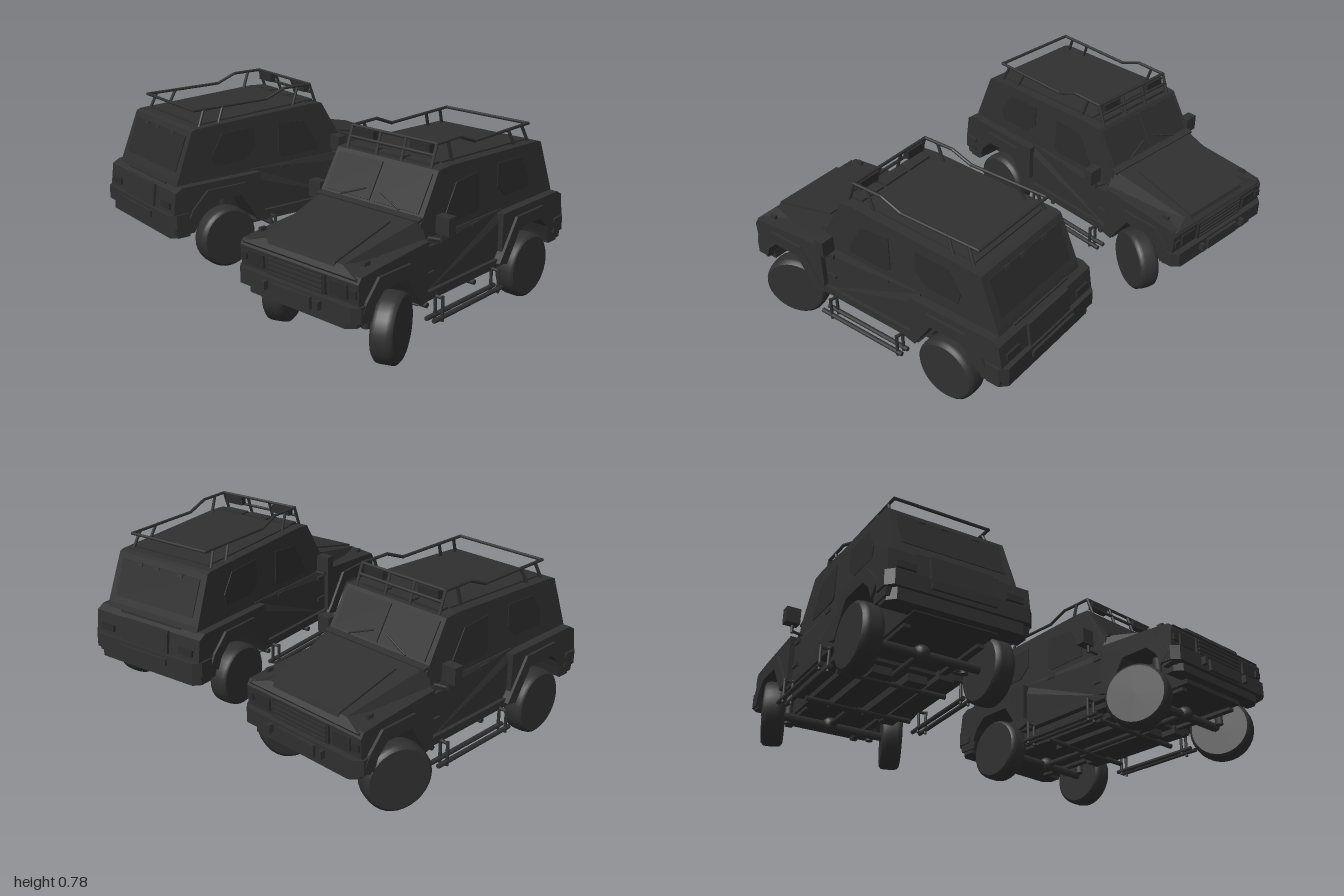
import * as THREE from 'three';

const paint = new THREE.MeshStandardMaterial({ color: 0x303030 });
paint.name = 'charcoalPaint';
const glass = new THREE.MeshStandardMaterial({ color: 0x2b2b2b });
glass.name = 'darkGlass';

const V = (p) => new THREE.Vector3(...p);

function add(group, name, geometry, material = paint) {
  const mesh = new THREE.Mesh(geometry, material);
  mesh.name = name;
  group.add(mesh);
  return mesh;
}

function box(group, name, size, pos, material, tilt = 0) {
  const mesh = add(group, name, new THREE.BoxGeometry(...size), material);
  mesh.position.set(...pos);
  mesh.rotation.x = tilt;
  return mesh;
}

function rod(group, name, a, b, r = 0.007) {
  const from = V(a), to = V(b), dir = to.clone().sub(from);
  const mesh = add(group, name, new THREE.CylinderGeometry(r, r, dir.length() + r, 8));
  mesh.position.copy(from).add(to).multiplyScalar(0.5);
  mesh.quaternion.setFromUnitVectors(new THREE.Vector3(0, 1, 0), dir.normalize());
  return mesh;
}

// Side outline of [z, y] points pulled across the car; half(y, z) gives the half width
function profile(group, name, points, half, material) {
  const shape = new THREE.Shape(points.map(([z, y]) => new THREE.Vector2(z, y)));
  const g = new THREE.ExtrudeGeometry(shape, { depth: 1, bevelEnabled: false });
  g.translate(0, 0, -0.5).rotateY(-Math.PI / 2);
  const p = g.attributes.position;
  for (let i = 0; i < p.count; i++) p.setX(i, Math.sign(p.getX(i)) * half(p.getY(i), p.getZ(i)));
  g.computeVertexNormals();
  return add(group, name, g, material);
}

const cabinHalf = (y) => 0.269 - (y - 0.41) * 0.03;

function buildBody(car) {
  profile(car, 'frontFenders', [[0.28, 0.21], [0.34, 0.21], [0.42, 0.335], [0.555, 0.335], [0.61, 0.28], [0.63, 0.22],
    [0.675, 0.23], [0.685, 0.385], [0.67, 0.408], [0.56, 0.42], [0.28, 0.44]], () => 0.308);
  profile(car, 'doorBody', [[0.3, 0.2], [0.3, 0.39], [0.3, 0.43], [-0.25, 0.43], [-0.25, 0.39], [-0.25, 0.2]],
    (y) => (y > 0.4 ? 0.274 : 0.285));
  profile(car, 'rearFenders', [[-0.22, 0.21], [-0.22, 0.42], [-0.635, 0.42], [-0.67, 0.4], [-0.685, 0.29], [-0.67, 0.2],
    [-0.58, 0.2], [-0.55, 0.28], [-0.49, 0.335], [-0.335, 0.335], [-0.255, 0.21]], () => 0.308);
  profile(car, 'cabin', [[-0.645, 0.41], [-0.635, 0.44], [-0.55, 0.655], [-0.53, 0.663], [0.1, 0.69], [0.17, 0.685],
    [0.28, 0.5], [0.28, 0.41]], cabinHalf);
  box(car, 'engineAndTrunkCore', [0.36, 0.24, 1.3], [0, 0.3, 0]);

  // Hood narrows toward the nose and toward its top
  profile(car, 'hood', [[0.27, 0.4], [0.675, 0.385], [0.685, 0.402], [0.655, 0.428], [0.27, 0.515]],
    (y, z) => (y < 0.41 ? 0.295 : 0.255 - (z - 0.27) * 0.13));
  profile(car, 'hoodPanel', [[0.345, 0.44], [0.67, 0.41], [0.662, 0.434], [0.345, 0.506]], (y, z) => 0.175 - (0.67 - z) * 0.02);
  box(car, 'cowl', [0.53, 0.012, 0.035], [0, 0.512, 0.28], paint, 0.2);

  // Angular wheel-arch flares
  const arch = (outer, inner) => [...outer, ...inner.reverse()];
  const frontArch = arch([[0.67, 0.27], [0.65, 0.31], [0.58, 0.388], [0.4, 0.388], [0.3, 0.245], [0.27, 0.21]],
    [[0.625, 0.23], [0.605, 0.285], [0.555, 0.333], [0.42, 0.333], [0.345, 0.22], [0.33, 0.195]]);
  const rearArch = arch([[-0.19, 0.21], [-0.215, 0.245], [-0.31, 0.388], [-0.51, 0.388], [-0.59, 0.31], [-0.61, 0.27]],
    [[-0.245, 0.195], [-0.26, 0.22], [-0.335, 0.333], [-0.49, 0.333], [-0.545, 0.285], [-0.57, 0.23]]);
  profile(car, 'frontArchFlares', frontArch, () => 0.32);
  profile(car, 'rearArchFlares', rearArch, () => 0.32);
  profile(car, 'sill', [[0.33, 0.19], [0.29, 0.225], [-0.21, 0.225], [-0.25, 0.19]], () => 0.302);

  // Side windows and door fittings
  const raised = (y) => cabinHalf(y) + 0.004;
  profile(car, 'doorWindows', [[0.135, 0.46], [0.13, 0.5], [0.06, 0.615], [-0.085, 0.626], [-0.09, 0.475], [-0.065, 0.458]], raised, glass);
  profile(car, 'rearQuarterWindows', [[-0.225, 0.63], [-0.395, 0.622], [-0.455, 0.53], [-0.445, 0.475], [-0.28, 0.48], [-0.225, 0.53]], raised, glass);
  for (const s of [1, -1]) {
    for (const y of [0.29, 0.4]) box(car, 'doorHinge', [0.016, 0.018, 0.05], [s * 0.285, y, 0.245]);
    box(car, 'doorHandle', [0.014, 0.014, 0.05], [s * 0.276, 0.415, -0.06]);
    box(car, 'hoodLatch', [0.014, 0.016, 0.03], [s * 0.27, 0.435, 0.6]);
  }

  // Windscreen panes, tailgate and roof hatch
  for (const s of [1, -1]) box(car, 'windscreenPane', [0.235, 0.165, 0.008], [s * 0.124, 0.6, 0.223], glass, -0.536);
  for (const s of [1, -1]) rod(car, 'wiper', [s * 0.15, 0.53, 0.275], [s * 0.04, 0.57, 0.253], 0.004);
  box(car, 'tailgateWindow', [0.46, 0.17, 0.008], [0, 0.55, -0.592], glass, 0.361);
  for (const x of [-0.12, 0.02, 0.12]) box(car, 'tailgateHinge', [0.03, 0.016, 0.012], [x, 0.625, -0.567], paint, 0.361);
  box(car, 'roofHatch', [0.43, 0.008, 0.58], [0, 0.68, -0.2], paint, -0.043);
  for (const x of [-0.145, 0, 0.145]) box(car, 'roofVent', [0.13, 0.014, 0.05], [x, 0.692, 0.125]);
}

function buildEnds(car) {
  const ring = (z, w, d, c) => new THREE.Shape([[-w, z], [w, z], [w, z + d - c], [w - c, z + d], [c - w, z + d], [-w, z + d - c]]
    .map((p) => new THREE.Vector2(...p)));
  const bumper = (name, y, h, w, z, d, front) => {
    const g = new THREE.ExtrudeGeometry(ring(z, w, d, 0.03), { depth: h, bevelEnabled: false });
    g.rotateX(Math.PI / 2).translate(0, y + h, 0);
    if (!front) g.rotateY(Math.PI);
    add(car, name, g);
  };
  bumper('frontBumper', 0.235, 0.065, 0.318, 0.63, 0.078, true);
  bumper('frontBumperLip', 0.2, 0.04, 0.28, 0.62, 0.07, true);
  bumper('rearBumper', 0.235, 0.065, 0.318, 0.61, 0.095, false);
  bumper('rearBumperLip', 0.185, 0.055, 0.3, 0.6, 0.09, false);
  box(car, 'grille', [0.3, 0.08, 0.014], [0, 0.345, 0.686], glass);
  for (let i = 0; i < 4; i++) box(car, 'grilleSlat', [0.28, 0.008, 0.01], [0, 0.317 + i * 0.019, 0.694]);
  box(car, 'winchPlate', [0.2, 0.05, 0.02], [0, 0.265, 0.712]);
  box(car, 'tailgatePanel', [0.27, 0.12, 0.014], [0, 0.345, -0.684], paint, 0.1);
  box(car, 'rearStep', [0.28, 0.03, 0.02], [0, 0.27, -0.706]);
  for (const s of [1, -1]) {
    box(car, 'headlight', [0.085, 0.055, 0.012], [s * 0.215, 0.345, 0.686], glass);
    box(car, 'turnSignal', [0.03, 0.03, 0.012], [s * 0.285, 0.345, 0.686], glass);
    box(car, 'towHook', [0.018, 0.035, 0.03], [s * 0.14, 0.27, 0.715]);
    box(car, 'tailLight', [0.08, 0.03, 0.012], [s * 0.235, 0.335, -0.683], glass, 0.1);
    // Wing mirrors
    rod(car, 'mirrorArm', [s * 0.26, 0.43, 0.235], [s * 0.325, 0.435, 0.225]);
    rod(car, 'mirrorPost', [s * 0.325, 0.43, 0.225], [s * 0.325, 0.48, 0.225]);
    box(car, 'mirror', [0.064, 0.072, 0.045], [s * 0.335, 0.497, 0.215]);
    // Side steps: two parallel bars on hangers
    for (const x of [0.3, 0.336]) {
      rod(car, 'stepBar', [s * x, 0.115, 0.27], [s * x, 0.115, -0.18], 0.01);
      for (const z of [0.22, -0.16]) rod(car, 'stepHanger', [s * x, 0.2, z], [s * x, 0.1, z]);
    }
    for (const z of [0.22, -0.16]) rod(car, 'stepBracket', [s * 0.29, 0.195, z], [s * 0.336, 0.195, z]);
  }
}

function buildRack(car) {
  for (const s of [1, -1]) {
    const x = s * 0.217;
    rod(car, 'sideRail', [x, 0.737, -0.51], [x, 0.737, -0.12]);
    rod(car, 'railRise', [x, 0.737, -0.12], [x, 0.775, -0.02]);
    rod(car, 'hoopTop', [x, 0.775, -0.02], [x, 0.775, 0.13]);
    rod(car, 'hoopFrontLeg', [x, 0.775, 0.13], [x, 0.68, 0.165]);
    rod(car, 'hoopBackLeg', [x, 0.775, 0.06], [x, 0.685, 0.03]);
    for (const z of [-0.46, -0.36]) rod(car, 'railLeg', [x, 0.737, z], [x * 1.06, 0.66, z - 0.035]);
    rod(car, 'hoopPost', [x * 0.3, 0.775, 0.13], [x * 0.3, 0.685, 0.16]);
    box(car, 'roofLamp', [0.1, 0.038, 0.03], [x * 0.66, 0.752, 0.13], glass);
  }
  rod(car, 'rearCrossbar', [-0.217, 0.737, -0.51], [0.217, 0.737, -0.51]);
  rod(car, 'hoopCrossbar', [-0.217, 0.775, 0.13], [0.217, 0.775, 0.13]);
  rod(car, 'lowerCrossbar', [-0.217, 0.732, 0.146], [0.217, 0.732, 0.146]);
}

function buildChassis(car, steer) {
  // Flat-faced wheels with a narrow shoulder bevel
  const outline = [[0, -0.045], [0.128, -0.045], [0.128, -0.045], [0.139, -0.036], [0.142, -0.02],
    [0.142, 0.02], [0.139, 0.036], [0.128, 0.045], [0.128, 0.045], [0, 0.045]];
  const tyre = new THREE.LatheGeometry(outline.map((p) => new THREE.Vector2(...p)), 32);
  tyre.rotateZ(Math.PI / 2);
  for (const [z, name] of [[0.469, 'front'], [-0.408, 'rear']]) {
    for (const s of [1, -1]) {
      const wheel = add(car, name + 'Wheel', tyre);
      wheel.position.set(s * 0.285, 0.142, z);
      if (name === 'front') wheel.rotation.y = steer;
      rod(car, name + 'Damper', [s * 0.2, 0.14, z + 0.05], [s * 0.2, 0.34, z + 0.04], 0.018);
      box(car, name + 'LeafSpring', [0.03, 0.015, 0.3], [s * 0.16, 0.165, z]);
    }
    rod(car, name + 'Axle', [-0.26, 0.142, z], [0.26, 0.142, z], 0.02);
    add(car, name + 'Differential', new THREE.SphereGeometry(0.036, 14, 10)).position.set(0.02, 0.147, z);
  }
  box(car, 'floor', [0.54, 0.04, 0.52], [0, 0.185, 0.035]);
  for (const x of [-0.18, 0.18]) box(car, 'frameRail', [0.07, 0.04, 0.56], [x, 0.16, 0.03]);
  for (const x of [-0.08, 0.08]) box(car, 'skidPlate', [0.09, 0.04, 0.44], [x, 0.15, 0.03]);
  rod(car, 'driveShaft', [0.02, 0.145, 0.45], [0.02, 0.145, -0.4], 0.014);
  rod(car, 'frontCrossTube', [-0.24, 0.13, 0.2], [0.24, 0.13, 0.2], 0.012);
  rod(car, 'rearCrossTube', [-0.24, 0.13, -0.12], [0.24, 0.13, -0.12], 0.012);
}

function buildCar(name, x, z, yaw, steer) {
  const car = new THREE.Group();
  car.name = name;
  buildBody(car);
  buildEnds(car);
  buildRack(car);
  buildChassis(car, steer);
  car.position.set(x, 0, z);
  car.rotation.y = yaw;
  return car;
}

export function createModel() {
  const model = new THREE.Group();
  model.name = 'twoArmoredTrucks';
  model.add(buildCar('truckFacingAway', -0.622, -0.025, Math.PI, -0.38));
  model.add(buildCar('truckFacingForward', 0.53, 0, 0.173, 0.38));
  return model;
}
